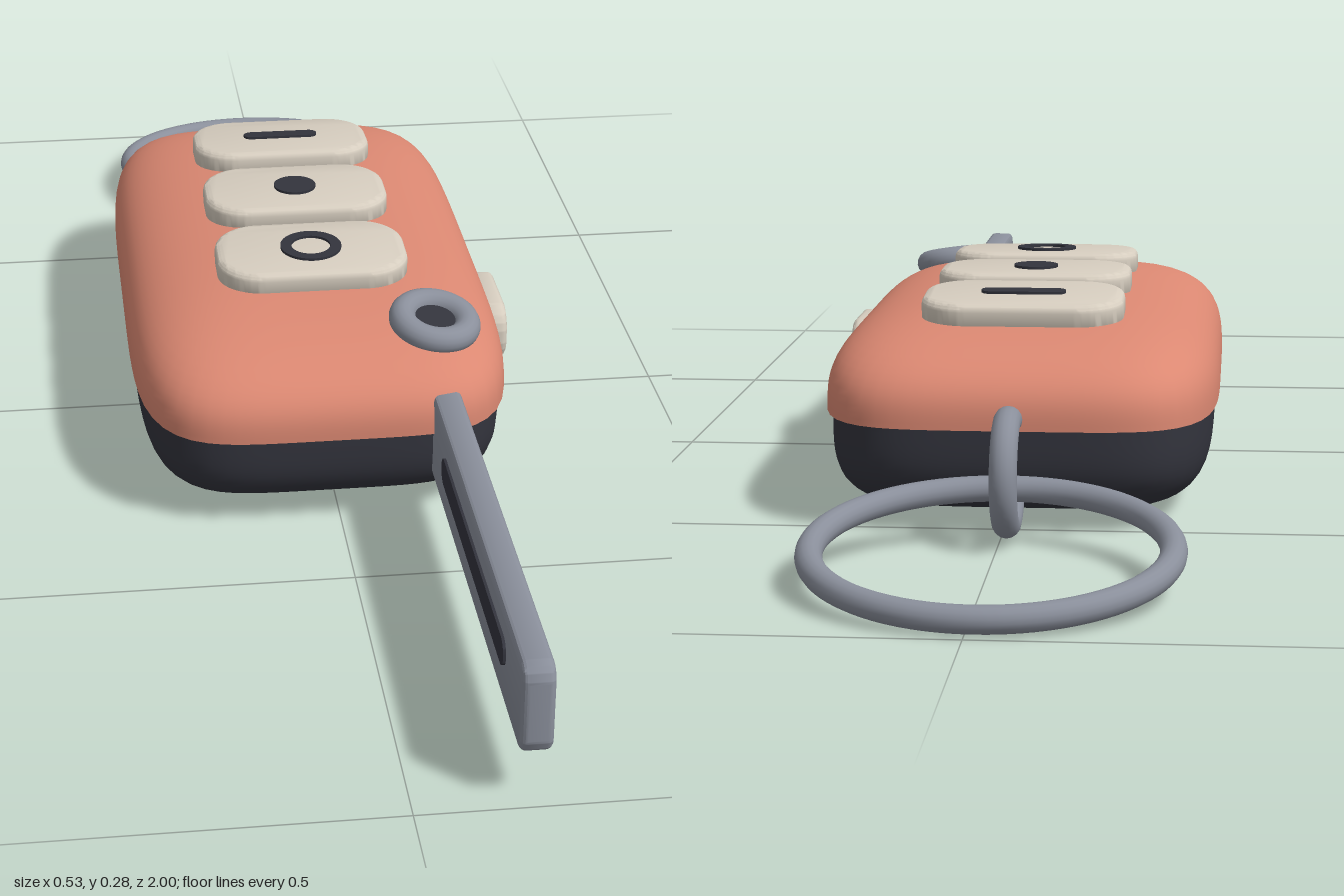
import * as THREE from 'three';
import { toCreasedNormals } from 'three/addons/utils/BufferGeometryUtils.js';

const mat = (name, color) => Object.assign(new THREE.MeshStandardMaterial({ color }), { name });

// body centre, half sizes and seam height
const CX = -0.01, CZ = -0.085, A = 0.255, B = 0.465, SEAM = 0.135, DOME = 0.12;
const CORNER = 5, DOME_POWER = 3, BELLY_POWER = 4;

const norm = (x, z, n) => Math.pow(Math.abs(x) ** n + Math.abs(z) ** n, 1 / n);

// height and normal of the domed upper shell
function topY(x, z) {
  const s = norm((x - CX) / A, (z - CZ) / B, CORNER);
  return SEAM + DOME * Math.pow(Math.max(0, 1 - s ** DOME_POWER), 1 / DOME_POWER);
}
function topNormal(x, z) {
  const e = 0.01;
  return new THREE.Vector3(
    (topY(x - e, z) - topY(x + e, z)) / (2 * e), 1,
    (topY(x, z - e) - topY(x, z + e)) / (2 * e)).normalize();
}

// skin through scaled copies of the rounded outline; rings are [scale, y]
function loft(rings, a = A, b = B, sides = 96) {
  const pos = [], index = [];
  rings.forEach(([s, y]) => {
    for (let i = 0; i < sides; i++) {
      const t = (i / sides) * Math.PI * 2, c = Math.cos(t), d = Math.sin(t);
      const k = s / norm(c, d, CORNER);
      pos.push(CX + a * c * k, y, CZ + b * d * k);
    }
  });
  for (let j = 0; j < rings.length - 1; j++) {
    for (let i = 0; i < sides; i++) {
      const p = j * sides + i, q = j * sides + (i + 1) % sides;
      index.push(p, p + sides, q, q, p + sides, q + sides);
    }
  }
  const g = new THREE.BufferGeometry();
  g.setAttribute('position', new THREE.Float32BufferAttribute(pos, 3));
  g.setIndex(index);
  g.computeVertexNormals();
  return g;
}

// quarter superellipse profile from the seam to the pole
function profile(height, power, steps = 24) {
  return Array.from({ length: steps + 1 }, (_, i) => {
    const t = (i / steps) * Math.PI / 2, c = Math.cos(t), d = Math.sin(t), k = 1 / norm(c, d, power);
    return [i === steps ? 0.0001 : c * k, SEAM + height * d * k];
  });
}

function roundedRect(w, h, r) {
  const s = new THREE.Shape(), x = w / 2 - r, y = h / 2 - r;
  s.absarc(x, y, r, 0, Math.PI / 2);
  s.absarc(-x, y, r, Math.PI / 2, Math.PI);
  s.absarc(-x, -y, r, Math.PI, Math.PI * 1.5);
  s.absarc(x, -y, r, Math.PI * 1.5, Math.PI * 2);
  s.closePath();
  return s;
}

// rounded plate from z = 0 to z = depth with softened edges
function plate(w, h, r, depth, bevel) {
  const g = new THREE.ExtrudeGeometry(roundedRect(w - 2 * bevel, h - 2 * bevel, r - bevel), {
    depth: depth - 2 * bevel, bevelEnabled: bevel > 0, bevelSize: bevel,
    bevelThickness: bevel, bevelSegments: 4, curveSegments: 12,
  });
  g.translate(0, 0, bevel);
  return toCreasedNormals(g, 0.7);
}

export function createModel() {
  const coral = mat('coral shell', 0xdb8872), dark = mat('charcoal', 0x33343d);
  const cream = mat('cream buttons', 0xd6cdbf), metal = mat('grey metal', 0x8a8f9b);
  const model = new THREE.Group();
  const Z = new THREE.Vector3(0, 0, 1), X = new THREE.Vector3(1, 0, 0);

  function add(name, geometry, material, position = [0, 0, 0], facing = null, parent = model) {
    const m = new THREE.Mesh(geometry, material);
    m.name = name;
    m.position.set(...position);
    if (facing) m.quaternion.setFromUnitVectors(Z, facing);
    parent.add(m);
    return m;
  }

  // two half shells, the upper one overhanging the seam slightly
  add('upperShell', loft(profile(DOME, DOME_POWER)), coral);
  add('shellLip', loft([[0.9, SEAM], [1, SEAM]]), coral);
  add('lowerShell', loft(profile(-SEAM, BELLY_POWER).reverse(), 0.248, 0.458), dark);

  // top buttons with raised symbols
  const ring = new THREE.Shape().absarc(0, 0, 0.042, 0, Math.PI * 2);
  ring.holes.push(new THREE.Path().absarc(0, 0, 0.027, 0, Math.PI * 2, true));
  const symbols = [
    plate(0.11, 0.024, 0.0119, 0.006, 0),
    new THREE.CylinderGeometry(0.03, 0.03, 0.006, 32).rotateX(Math.PI / 2).translate(0, 0, 0.003),
    new THREE.ExtrudeGeometry(ring, { depth: 0.006, bevelEnabled: false, curveSegments: 24 }),
  ];
  const buttonShape = plate(0.262, 0.162, 0.062, 0.037, 0.01);
  [-0.32, -0.118, 0.085].forEach((z, i) => {
    const button = new THREE.Group();
    button.name = 'topButton' + (i + 1);
    button.position.set(CX, topY(CX, z) - 0.013, z);
    button.quaternion.setFromUnitVectors(Z, topNormal(CX, z));
    add('buttonCap', buttonShape, cream, [0, 0, 0], null, button);
    add('buttonSymbol', symbols[i], dark, [0, 0, 0.0345], null, button);
    model.add(button);
  });

  // side button on the left edge
  add('sideButton', plate(0.155, 0.084, 0.036, 0.037, 0.009), cream, [0.225, 0.142, 0.05], X);

  // release button: metal collar with a dark centre
  const pivot = new THREE.Group();
  pivot.name = 'releaseButton';
  pivot.position.set(0.137, topY(0.137, 0.25), 0.25);
  pivot.quaternion.setFromUnitVectors(Z, topNormal(0.137, 0.25));
  add('releaseCollar', new THREE.TorusGeometry(0.044, 0.018, 16, 48), metal, [0, 0, 0.003], null, pivot);
  add('releaseCentre', new THREE.CylinderGeometry(0.032, 0.032, 0.02, 32).rotateX(Math.PI / 2),
    dark, [0, 0, -0.001], null, pivot);
  model.add(pivot);

  // blade standing on edge, with a groove on both faces
  add('blade', plate(0.72, 0.118, 0.022, 0.038, 0.008), metal, [0.119, 0.126, 0.64], X);
  add('bladeGroove', plate(0.44, 0.036, 0.0175, 0.045, 0), dark, [0.1155, 0.133, 0.678], X);

  // small loop on the rear and the split ring hanging from it
  add('ringLoop', new THREE.TorusGeometry(0.064, 0.017, 16, 48), metal, [CX, 0.088, -0.566], X);
  const keyRing = add('keyRing', new THREE.TorusGeometry(0.209, 0.016, 16, 80), metal, [CX, 0.043, -0.776]);
  keyRing.rotation.x = Math.PI / 2 - 0.12;

  return model;
}
